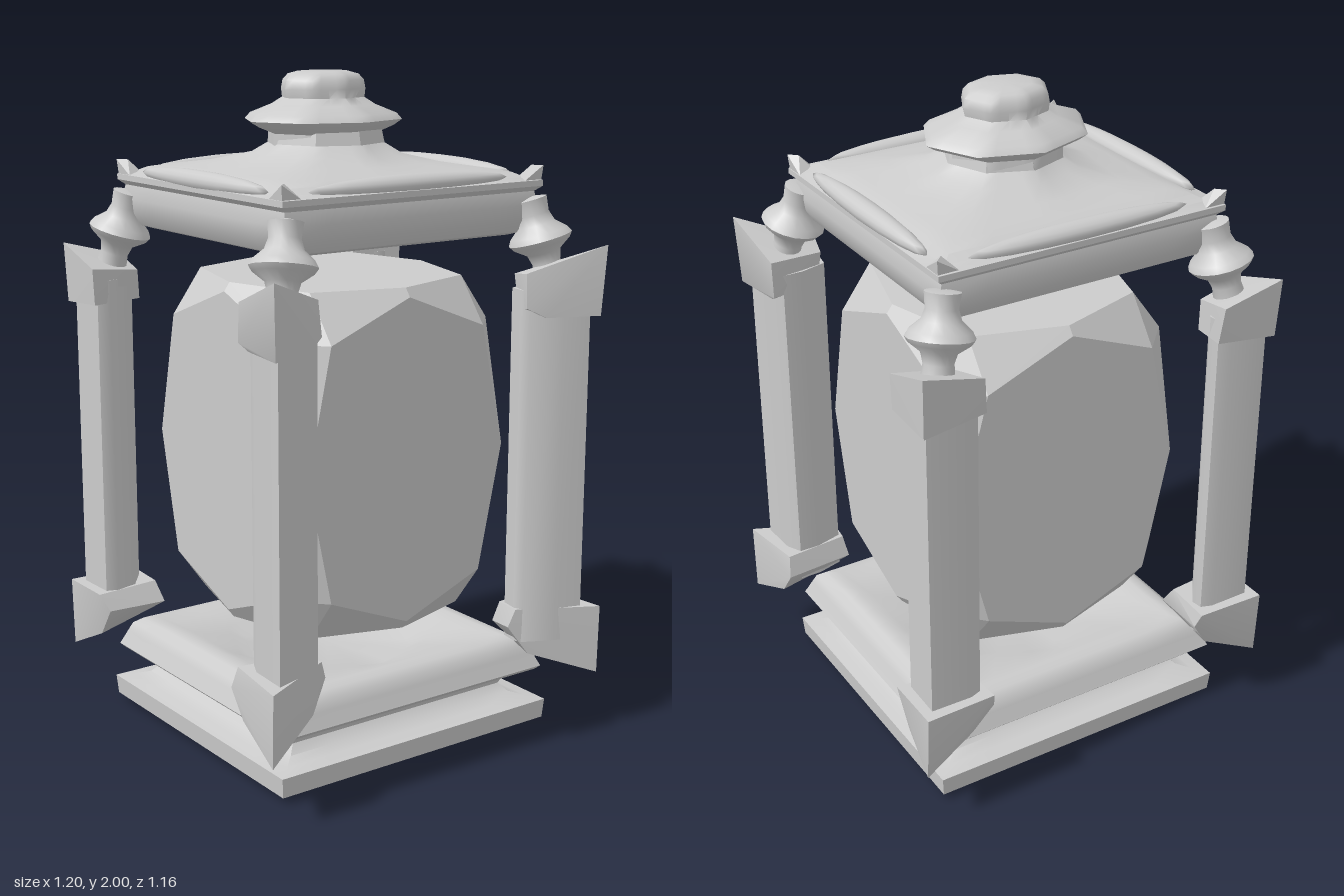
import * as THREE from 'three';
import { toCreasedNormals } from 'three/addons/utils/BufferGeometryUtils.js';
import { ConvexGeometry } from 'three/addons/geometries/ConvexGeometry.js';

const mat = new THREE.MeshStandardMaterial({ color: 0xcccccc });
const CX = 0.005, CZ = -0.02;

function add(group, name, geo, crease = 0.6) {
  const mesh = new THREE.Mesh(toCreasedNormals(geo, crease), mat);
  mesh.name = name;
  group.add(mesh);
  return mesh;
}

// Stack of rings [y, halfX, halfZ, blend]; blend 0 is a square, 1 an octagon.
function loft(rings, n = 32) {
  const pos = [], idx = [];
  const ring = ([y, hx, hz, blend]) => {
    for (let i = 0; i < n; i++) {
      const a = (i / n) * Math.PI * 2, c = Math.cos(a), s = Math.sin(a);
      const sq = 1 / Math.max(Math.abs(c), Math.abs(s));
      const oct = Math.cos(Math.PI / 8) / Math.cos((a % (Math.PI / 4)) - Math.PI / 8);
      const r = sq + (oct - sq) * blend;
      pos.push(c * r * hx, y, s * r * hz);
    }
  };
  rings.forEach(ring);
  for (let j = 0; j < rings.length - 1; j++) {
    for (let i = 0; i < n; i++) {
      const a = j * n + i, b = j * n + ((i + 1) % n);
      idx.push(a, a + n, b, b, a + n, b + n);
    }
  }
  const last = (rings.length - 1) * n, bottom = pos.length / 3, top = bottom + 1;
  pos.push(0, rings[0][0], 0, 0, rings[rings.length - 1][0], 0);
  for (let i = 0; i < n; i++) {
    const k = (i + 1) % n;
    idx.push(bottom, i, k, top, last + k, last + i);
  }
  const geo = new THREE.BufferGeometry();
  geo.setAttribute('position', new THREE.Float32BufferAttribute(pos, 3));
  geo.setIndex(idx);
  return geo;
}

// Same half width on x and slightly less on z
const squareRings = (list) => list.map(([y, h, blend]) => [y, h, h * 0.965, blend]);

// Convex block from six octagonal faces, fuller at the back left corner
function glassGeometry(hx, hy, hz) {
  const pts = [new THREE.Vector3(hx, 0, -hz)], ring = [];
  for (let i = 0; i < 8; i++) {
    const a = (i * Math.PI) / 4, r = i % 2 ? 1.04 : 0.95;
    ring.push([Math.cos(a) * r, Math.sin(a) * r]);
  }
  for (const s of [-1, 1]) {
    for (const [u, v] of ring) {
      pts.push(new THREE.Vector3(u * hx, v * hy, s * hz));
      pts.push(new THREE.Vector3(s * hx, v * hy, u * hz));
      pts.push(new THREE.Vector3(u * hx, s * hy, v * hz));
    }
  }
  return new ConvexGeometry(pts);
}

// Convex part of one corner from [x, y, z] points, mirrored by sign
const hull = (list, sx, sz) =>
  new ConvexGeometry(list.map(([x, y, z]) => new THREE.Vector3(x * sx, y, z * sz)));
const prism = (section) => section.flatMap(([x, z]) => [[x, 0.3, z], [x, 1.38, z]]);

const frontParts = {
  post: prism([[0.553, 0.543], [0.47, 0.52], [0.38, 0.475], [0.368, 0.45], [0.378, 0.395],
    [0.46, 0.372], [0.525, 0.372], [0.548, 0.42]]),
  lowerBlock: [
    [0.6, 0.4, 0.58], [0.36, 0.405, 0.465], [0.57, 0.405, 0.36], [0.37, 0.405, 0.38],
    [0.34, 0.35, 0.455], [0.58, 0.34, 0.34], [0.36, 0.34, 0.36],
    [0.4, 0.26, 0.48], [0.58, 0.26, 0.4], [0.6, 0.185, 0.575],
  ],
  upperBlock: [
    [0.585, 1.51, 0.575], [0.37, 1.43, 0.465], [0.56, 1.43, 0.37], [0.39, 1.42, 0.39],
    [0.575, 1.3, 0.565], [0.365, 1.33, 0.475], [0.56, 1.32, 0.365],
    [0.42, 1.3, 0.5], [0.55, 1.3, 0.4], [0.4, 1.31, 0.4],
  ],
};
const backParts = {
  post: prism([[0.558, 0.55], [0.43, 0.552], [0.395, 0.54], [0.39, 0.505], [0.45, 0.425],
    [0.52, 0.408], [0.555, 0.42]]),
  lowerBlock: [
    [0.59, 0.4, 0.585], [0.37, 0.4, 0.58], [0.59, 0.4, 0.4], [0.38, 0.4, 0.42],
    [0.36, 0.35, 0.56], [0.57, 0.35, 0.37], [0.37, 0.34, 0.38],
    [0.42, 0.26, 0.54], [0.57, 0.26, 0.43], [0.59, 0.19, 0.575],
  ],
  upperBlock: [
    [0.58, 1.48, 0.58], [0.39, 1.43, 0.57], [0.58, 1.42, 0.4], [0.41, 1.4, 0.43],
    [0.575, 1.3, 0.57], [0.38, 1.32, 0.56], [0.575, 1.31, 0.4], [0.4, 1.31, 0.44],
  ],
};
// Small upturned peak on the roof corner
const peak = [
  [0.46, 1.735, 0.44], [0.435, 1.735, 0.415], [0.455, 1.68, 0.435],
  [0.39, 1.69, 0.435], [0.455, 1.69, 0.37], [0.4, 1.69, 0.38],
];

export function createModel() {
  const model = new THREE.Group();
  model.name = 'lantern';

  // Octagonal foot, plate, hollow neck moulding and lower frame with a sunken octagon
  const base = add(model, 'base', loft(squareRings([
    [0, 0.33, 1], [0.016, 0.36, 1], [0.02, 0.488, 0], [0.08, 0.493, 0], [0.088, 0.45, 0],
    [0.1, 0.41, 0], [0.125, 0.388, 0], [0.15, 0.4, 0], [0.165, 0.43, 0], [0.178, 0.47, 0],
    [0.19, 0.482, 0], [0.205, 0.475, 0], [0.235, 0.462, 0], [0.262, 0.45, 0], [0.28, 0.425, 0],
    [0.285, 0.39, 0], [0.27, 0.35, 0], [0.26, 0.32, 1], [0.235, 0.27, 1],
  ])));
  base.position.set(CX, 0, CZ);

  // Faceted lamp body
  const glass = add(model, 'lampBody', glassGeometry(0.372, 0.51, 0.392), 0.25);
  glass.position.set(0.014, 0.9, CZ);

  // Corner posts with wedge blocks and turned necks leaning in to the roof
  const neckProfile = [
    [0.001, -0.14], [0.05, -0.13], [0.042, -0.07], [0.05, -0.04], [0.085, -0.015],
    [0.095, 0], [0.085, 0.018], [0.055, 0.045], [0.045, 0.075], [0.05, 0.12], [0.001, 0.13],
  ].map(([r, y]) => new THREE.Vector2(r, y));
  for (const sx of [-1, 1]) {
    for (const sz of [-1, 1]) {
      const corner = new THREE.Group();
      corner.name = (sz > 0 ? 'front' : 'back') + (sx > 0 ? 'Left' : 'Right') + 'Corner';
      for (const [name, points] of Object.entries(sz > 0 ? frontParts : backParts)) {
        add(corner, name, hull(points, sx, sz), 0.8);
      }
      const neck = add(corner, 'neck', new THREE.LatheGeometry(neckProfile, 16), 0.8);
      neck.position.set(sx * 0.455 + CX, 1.52, sz * 0.44 + CZ);
      neck.rotation.set(-sz * 0.2, 0, sx * 0.2);
      add(corner, 'roofPeak', hull(peak, sx, sz)).position.set(CX, 0, CZ);
      model.add(corner);
    }
  }

  // Roof: rounded eave bar, stepped edge and concave slope; octagon recess below
  const roof = add(model, 'roof', loft(squareRings([
    [1.58, 0.26, 1], [1.55, 0.31, 1], [1.54, 0.34, 0], [1.53, 0.385, 0], [1.54, 0.415, 0],
    [1.575, 0.438, 0], [1.62, 0.448, 0], [1.66, 0.44, 0], [1.675, 0.458, 0], [1.692, 0.458, 0],
    [1.7, 0.42, 0], [1.715, 0.39, 0], [1.725, 0.35, 0.1], [1.74, 0.28, 0.4],
    [1.765, 0.21, 0.8], [1.795, 0.175, 1], [1.84, 0.165, 1],
  ])));
  roof.position.set(CX, 0, CZ);

  // Lens-shaped strips along the four roof edges
  for (let i = 0; i < 4; i++) {
    const side = i % 2 === 1, s = i < 2 ? 1 : -1;
    const strip = add(model, 'roofStrip', new THREE.SphereGeometry(1, 16, 8), 0.9);
    strip.scale.set(side ? 0.035 : 0.35, 0.03, side ? 0.335 : 0.037);
    strip.position.set(CX + (side ? s * 0.43 : 0), 1.705, CZ + (side ? 0 : s * 0.405));
  }

  // Octagonal collar and knob
  const cap = add(model, 'collarAndKnob', loft([
    [1.78, 0.172, 0.16], [1.825, 0.172, 0.155], [1.845, 0.225, 0.19], [1.862, 0.252, 0.21],
    [1.88, 0.235, 0.195], [1.905, 0.165, 0.14], [1.925, 0.13, 0.112], [1.95, 0.135, 0.112],
    [1.975, 0.13, 0.108], [1.992, 0.113, 0.094], [2.0, 0.08, 0.068],
  ].map((r) => [...r, 1])), 0.95);
  cap.position.set(0, 0, -0.03);

  return model;
}
